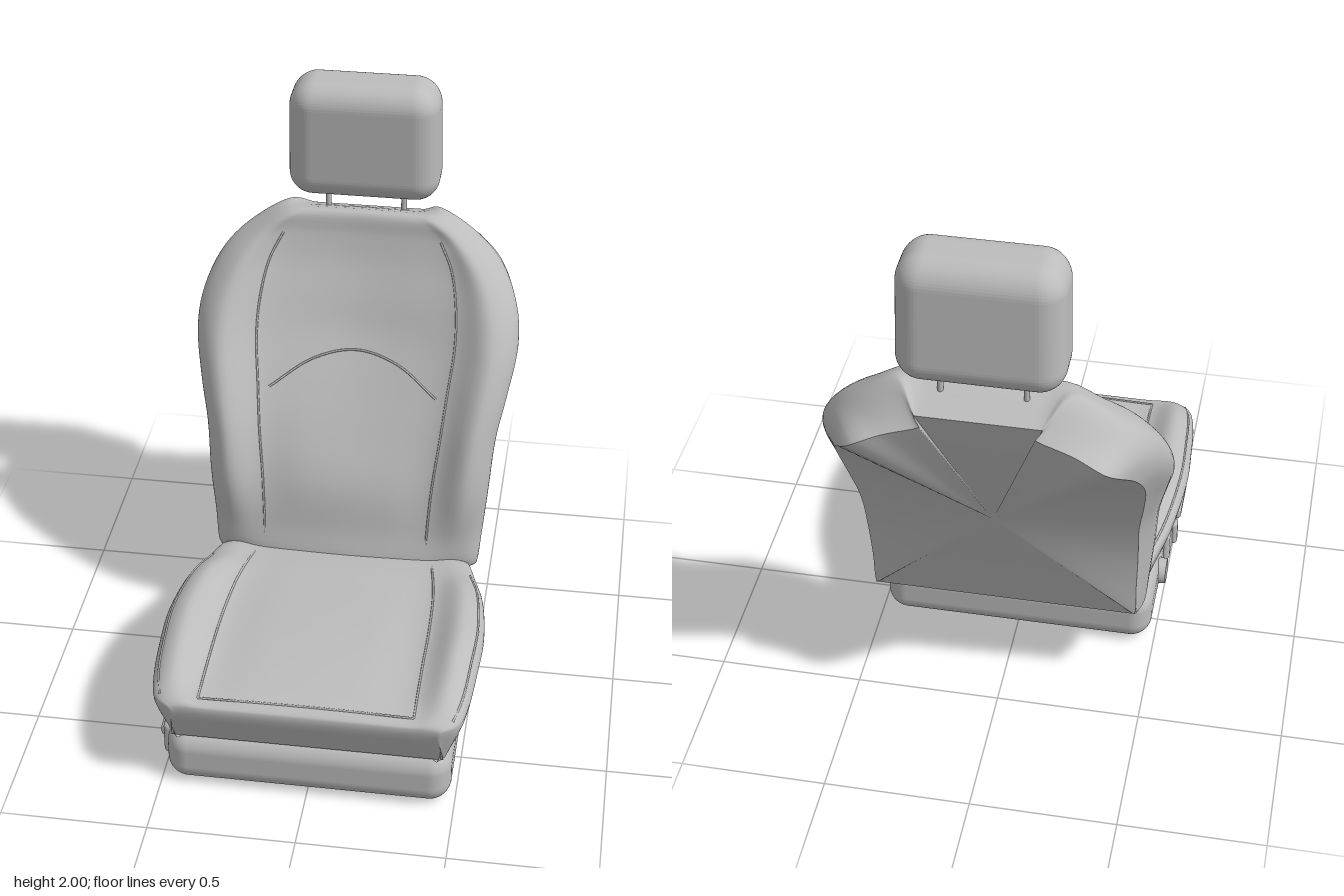
import * as THREE from 'three';
import { RoundedBoxGeometry } from 'three/addons/geometries/RoundedBoxGeometry.js';

const grey = new THREE.MeshStandardMaterial({ color: 0xbcbcbc });
grey.name = 'seatGrey';

const lerp = THREE.MathUtils.lerp;
const V = (x, y, z) => new THREE.Vector3(x, y, z);

function add(parent, name, geometry, x = 0, y = 0, z = 0) {
  const mesh = new THREE.Mesh(geometry, grey);
  mesh.name = name;
  mesh.position.set(x, y, z);
  parent.add(mesh);
  return mesh;
}

// Half cross-section of a bolstered pad, from the rim round to the centre.
// t runs along the pad, h is the height of its padded face.
function section([t, w, sx, hc, hs, hf, hm, rx, rt, rh], place) {
  const half = [
    [rx, rt, rh],
    [w, t, hm],
    [lerp(sx, w, 0.88), t, lerp(hf, hm, 0.4)],
    [lerp(sx, w, 0.55), t, hf],
    [sx, t, hs],
    [sx * 0.5, t, lerp(hc, hs, 0.3)],
  ];
  return [
    ...half.map(([x, a, h]) => place(-x, a, h)),
    place(0, t, hc),
    ...half.reverse().map(([x, a, h]) => place(x, a, h)),
  ];
}

function makeGeometry(points, index) {
  const g = new THREE.BufferGeometry().setFromPoints(points);
  g.setIndex(index);
  g.computeVertexNormals();
  return g;
}

// Smooth padded surface through the stations, closed by a fan to one pole.
function pad(stations, place, pole) {
  const sections = stations.map((s) => section(s, place));
  const cols = 60;
  const rows = (stations.length - 1) * 5;
  const across = sections.map((s) => new THREE.CatmullRomCurve3(s).getPoints(cols));
  const grid = Array.from({ length: rows + 1 }, () => []);
  for (let c = 0; c <= cols; c++) {
    const along = new THREE.CatmullRomCurve3(across.map((p) => p[c])).getPoints(rows);
    along.forEach((p, r) => { grid[r][c] = p; });
  }
  const index = [];
  for (let r = 0; r < rows; r++) {
    for (let c = 0; c < cols; c++) {
      const a = r * (cols + 1) + c, b = a + cols + 1;
      index.push(a, a + 1, b + 1, a, b + 1, b);
    }
  }
  const rim = [
    ...grid[0],
    ...grid.slice(1).map((row) => row[cols]),
    ...grid[rows].slice(0, -1).reverse(),
    ...grid.slice(1, -1).map((row) => row[0]).reverse(),
  ];
  const fan = [];
  rim.forEach((_, i) => fan.push((i + 1) % rim.length, i, rim.length));
  return {
    face: makeGeometry(grid.flat(), index),
    back: makeGeometry([...rim, pole], fan),
    sections,
  };
}

function thread(parent, name, points, radius = 0.004) {
  add(parent, name, new THREE.TubeGeometry(new THREE.CatmullRomCurve3(points), 60, radius, 6));
}

// Stitching that follows one column of the sections on both sides
function seams(parent, name, sections, column, from, to) {
  for (const c of [column, 12 - column]) {
    thread(parent, name, sections.slice(from, to).map((s) => s[c]));
  }
}

// Stations: t, half width, seam x, heights (centre, seam, bolster, side), rim x, rim t, rim h
const backStations = [
  [0.35, 0.46, 0.29, -0.355, -0.355, -0.355, -0.355, 0.45, 0.355, -0.36],
  [0.31, 0.475, 0.29, -0.12, -0.14, -0.17, -0.22, 0.455, 0.355, -0.36],
  [0.45, 0.49, 0.295, -0.14, -0.155, -0.155, -0.24, 0.46, 0.5, -0.375],
  [0.62, 0.505, 0.305, -0.175, -0.19, -0.15, -0.25, 0.465, 0.65, -0.4],
  [0.8, 0.52, 0.325, -0.27, -0.25, -0.185, -0.3, 0.47, 0.82, -0.45],
  [0.95, 0.55, 0.34, -0.36, -0.32, -0.245, -0.36, 0.49, 0.97, -0.51],
  [1.1, 0.575, 0.355, -0.45, -0.395, -0.325, -0.45, 0.5, 1.1, -0.58],
  [1.22, 0.56, 0.35, -0.5, -0.455, -0.4, -0.52, 0.48, 1.22, -0.68],
  [1.34, 0.5, 0.325, -0.55, -0.52, -0.48, -0.6, 0.4, 1.34, -0.81],
  [1.43, 0.405, 0.28, -0.575, -0.56, -0.545, -0.65, 0.3, 1.38, -0.79],
  [1.51, 0.27, 0.18, -0.595, -0.595, -0.595, -0.67, 0.2, 1.41, -0.78],
  [1.45, 0.2, 0.13, -0.765, -0.765, -0.765, -0.765, 0.18, 1.42, -0.78],
];

const cushionStations = [
  [-0.75, 0.46, 0.33, 0.2, 0.2, 0.2, 0.2, 0.45, -0.75, 0.2],
  [-0.81, 0.45, 0.34, 0.37, 0.37, 0.37, 0.36, 0.45, -0.75, 0.2],
  [-0.77, 0.505, 0.36, 0.39, 0.385, 0.4, 0.365, 0.465, -0.73, 0.2],
  [-0.68, 0.53, 0.36, 0.405, 0.395, 0.435, 0.37, 0.475, -0.67, 0.23],
  [-0.5, 0.545, 0.36, 0.415, 0.405, 0.46, 0.385, 0.485, -0.5, 0.255],
  [-0.33, 0.55, 0.36, 0.41, 0.4, 0.455, 0.385, 0.485, -0.33, 0.245],
  [-0.1, 0.525, 0.35, 0.39, 0.385, 0.425, 0.37, 0.47, -0.1, 0.215],
  [0.05, 0.485, 0.33, 0.375, 0.37, 0.38, 0.35, 0.45, 0.03, 0.195],
  [0.17, 0.45, 0.31, 0.345, 0.345, 0.35, 0.33, 0.42, 0.13, 0.19],
  [0.19, 0.44, 0.3, 0.31, 0.31, 0.31, 0.31, 0.42, 0.14, 0.19],
  [0.145, 0.43, 0.3, 0.2, 0.2, 0.2, 0.2, 0.42, 0.14, 0.19],
];

export function createModel() {
  const seat = new THREE.Group();
  seat.name = 'seat';

  // Base block
  add(seat, 'base', new RoundedBoxGeometry(0.97, 0.21, 0.91, 6, 0.075), 0, 0.105, 0.315);

  // Adjustment controls on the right side of the base
  const controls = new THREE.Group();
  controls.name = 'controls';
  seat.add(controls);
  const knob = add(controls, 'knob', new THREE.CylinderGeometry(0.045, 0.05, 0.04, 32), -0.49, 0.115, 0.14);
  knob.rotation.z = Math.PI / 2;
  add(controls, 'controlPanel', new RoundedBoxGeometry(0.04, 0.13, 0.44, 4, 0.019), -0.485, 0.12, 0.47);
  add(controls, 'backrestLever', new RoundedBoxGeometry(0.03, 0.1, 0.045, 4, 0.014), -0.507, 0.12, 0.36);
  add(controls, 'cushionLever', new RoundedBoxGeometry(0.03, 0.045, 0.2, 4, 0.014), -0.507, 0.12, 0.55);

  // Seat cushion
  const cushion = new THREE.Group();
  cushion.name = 'cushion';
  seat.add(cushion);
  const bottom = pad(cushionStations, (x, t, h) => V(x, h, -t), V(0, 0.2, 0.3));
  add(cushion, 'cushionPad', bottom.face);
  add(cushion, 'cushionUnderside', bottom.back);
  seams(cushion, 'cushionSeam', bottom.sections, 4, 2, 9);
  seams(cushion, 'cushionSideSeam', bottom.sections, 2, 2, 8);
  thread(cushion, 'cushionFrontSeam', bottom.sections[2].slice(4, 9));

  // Backrest with a faceted rear panel
  const backrest = new THREE.Group();
  backrest.name = 'backrest';
  seat.add(backrest);
  const back = pad(backStations, V, V(0, 0.88, -0.55));
  add(backrest, 'backrestPad', back.face);
  add(backrest, 'backrestRear', back.back);
  seams(backrest, 'backrestSeam', back.sections, 4, 1, 10);
  thread(backrest, 'lumbarSeam', [
    V(-0.3, 0.93, -0.32), V(-0.15, 1.02, -0.39), V(0, 1.05, -0.42),
    V(0.15, 1.02, -0.39), V(0.3, 0.93, -0.32),
  ]);

  // Headrest, narrowed a little at the top and at the lower front
  const head = new RoundedBoxGeometry(0.53, 0.435, 0.26, 8, 0.085);
  const p = head.attributes.position;
  for (let i = 0; i < p.count; i++) {
    const v = p.getY(i) / 0.2175;
    const z = p.getZ(i);
    p.setX(i, p.getX(i) * (1 - 0.05 * Math.max(0, v) ** 2));
    p.setZ(i, z > 0 ? z + 0.012 * (v - 1) : z + 0.012 * (v + 1));
  }
  head.computeVertexNormals();
  add(seat, 'headrest', head, 0, 1.7825, -0.653);

  // Headrest posts
  for (const side of [-1, 1]) {
    add(seat, 'headrestPost', new THREE.CylinderGeometry(0.01, 0.01, 0.2, 16), side * 0.135, 1.53, -0.67);
  }
  return seat;
}
